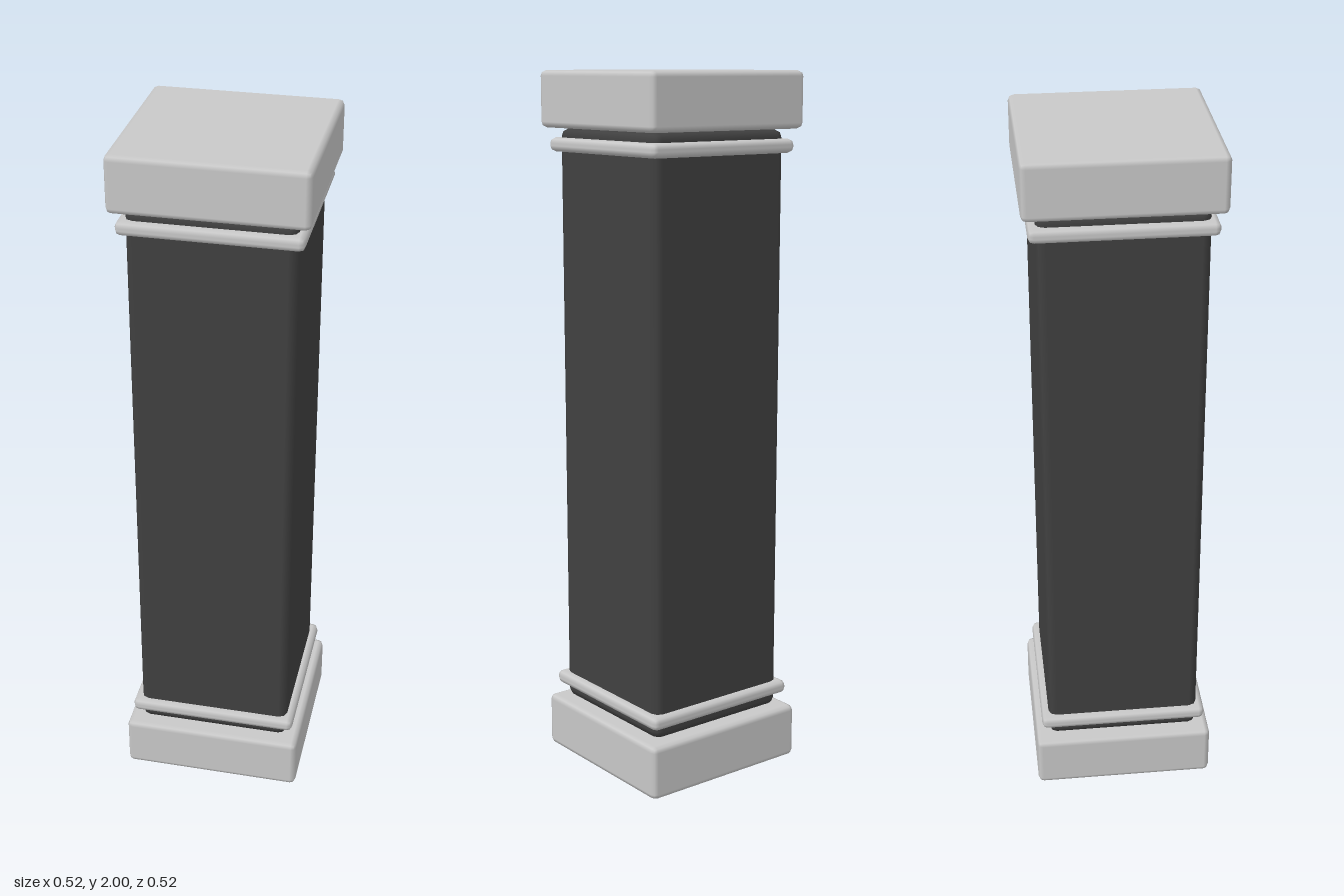
import * as THREE from 'three';
import { RoundedBoxGeometry } from 'three/addons/geometries/RoundedBoxGeometry.js';

export function createModel() {
  const model = new THREE.Group();
  model.name = 'squareColumn';

  const paleStone = new THREE.MeshStandardMaterial({ color: 0xc8c8c8 });
  paleStone.name = 'pale stone';
  const darkStone = new THREE.MeshStandardMaterial({ color: 0x404040 });
  darkStone.name = 'dark stone';

  // Square block with softly bevelled edges, placed between two heights
  function block(name, width, bottom, top, bevel, material) {
    const geometry = new RoundedBoxGeometry(width, top - bottom, width, 1, bevel);
    const mesh = new THREE.Mesh(geometry, material);
    mesh.name = name;
    mesh.position.y = (bottom + top) / 2;
    model.add(mesh);
  }

  // Base and capital slabs
  block('baseSlab', 0.524, 0, 0.157, 0.016, paleStone);
  block('capitalSlab', 0.524, 1.843, 2, 0.016, paleStone);

  // Shaft
  block('shaft', 0.448, 0.157, 1.843, 0.024, darkStone);

  // Thin mouldings around both ends of the shaft
  block('lowerMoulding', 0.49, 0.195, 0.234, 0.016, paleStone);
  block('upperMoulding', 0.49, 1.777, 1.816, 0.016, paleStone);

  return model;
}
